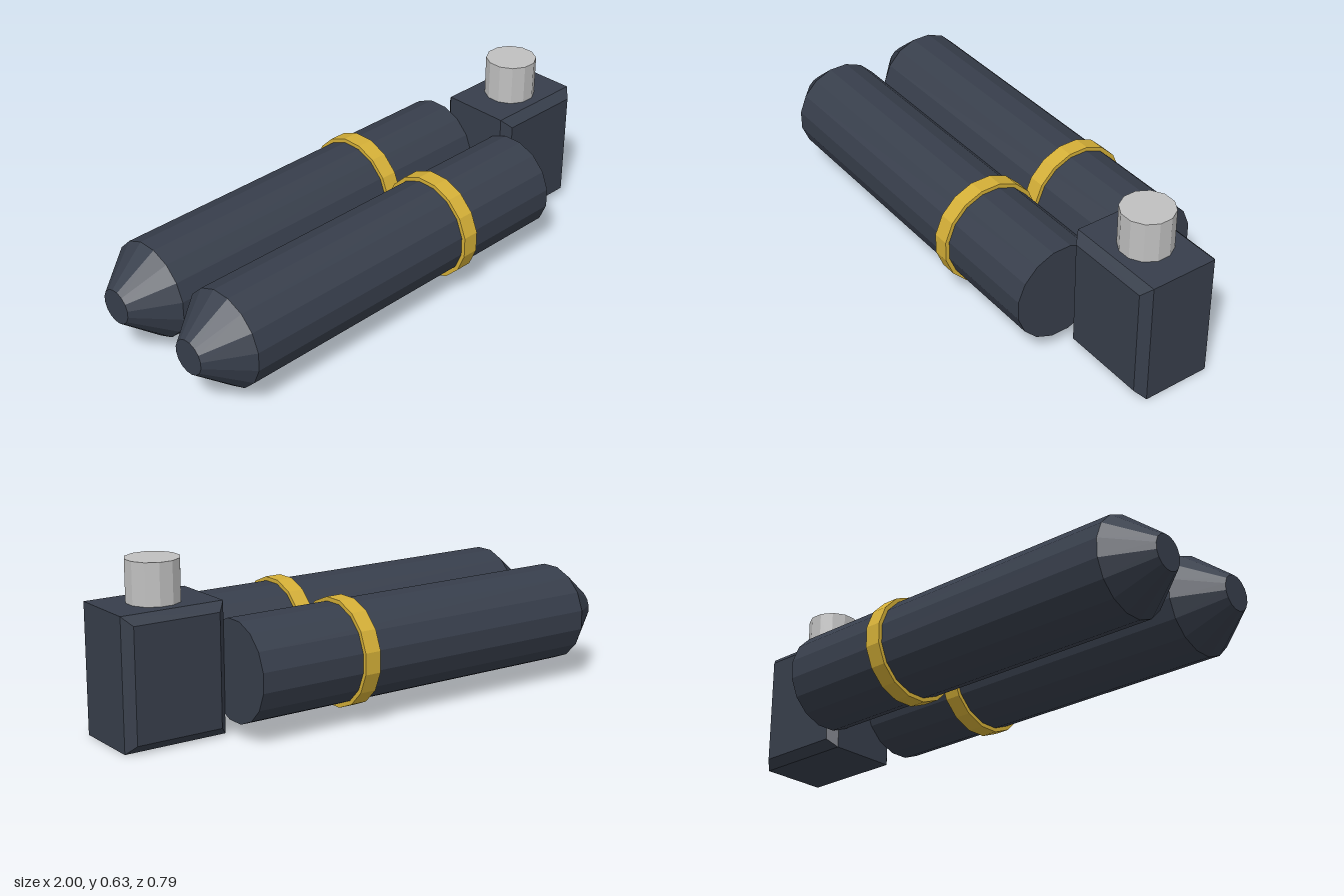
import * as THREE from 'three';

const flat = (name, color) => {
  const m = new THREE.MeshStandardMaterial({ color, flatShading: true });
  m.name = name;
  return m;
};

// Lathe around y from [radius, height] pairs, turned so flats face the axes
function prism(name, points, sides, material) {
  const profile = points.map(([r, h]) => new THREE.Vector2(r / Math.cos(Math.PI / sides), h));
  const mesh = new THREE.Mesh(new THREE.LatheGeometry(profile, sides, Math.PI / sides), material);
  mesh.name = name;
  return mesh;
}

export function createModel() {
  const slate = flat('slate', 0x373e4b);
  const gold = flat('gold', 0xd4af37);
  const silver = flat('silver', 0xc0c0c0);

  const model = new THREE.Group();
  model.name = 'twinTanks';

  // Two horizontal tanks with a tapered end and a band
  for (const side of [1, -1]) {
    const tank = new THREE.Group();
    tank.name = side > 0 ? 'frontTank' : 'backTank';
    tank.add(
      prism('tankBody', [[0, -1], [0.065, -1], [0.182, -0.85], [0.182, 0.605], [0, 0.605]], 16, slate),
      prism('tankBand', [[0.18, 0.128], [0.197, 0.128], [0.197, 0.192], [0.18, 0.192]], 16, gold)
    );
    tank.rotation.z = -Math.PI / 2;
    tank.position.set(0, 0.24, side * 0.197);
    model.add(tank);
  }

  // Valve block, bevelled on its front and back faces
  const bevel = 0.032, width = 0.395, height = 0.478, depth = 0.262;
  const w = width / 2 - bevel, h = height / 2 - bevel;
  const outline = new THREE.Shape([
    new THREE.Vector2(-w, -h), new THREE.Vector2(w, -h),
    new THREE.Vector2(w, h), new THREE.Vector2(-w, h)
  ]);
  const blockGeometry = new THREE.ExtrudeGeometry(outline, {
    depth, bevelEnabled: true, bevelSize: bevel, bevelThickness: bevel, bevelSegments: 1
  });
  blockGeometry.translate(0, 0, -depth / 2);
  const block = new THREE.Mesh(blockGeometry, slate);
  block.name = 'valveBlock';
  block.position.set(0.8025, height / 2, 0);
  model.add(block);

  // Outlet on top of the block
  const outlet = prism('outlet', [[0, 0.45], [0.094, 0.45], [0.094, 0.631], [0, 0.631]], 12, silver);
  outlet.position.x = 0.8025;
  model.add(outlet);

  return model;
}
